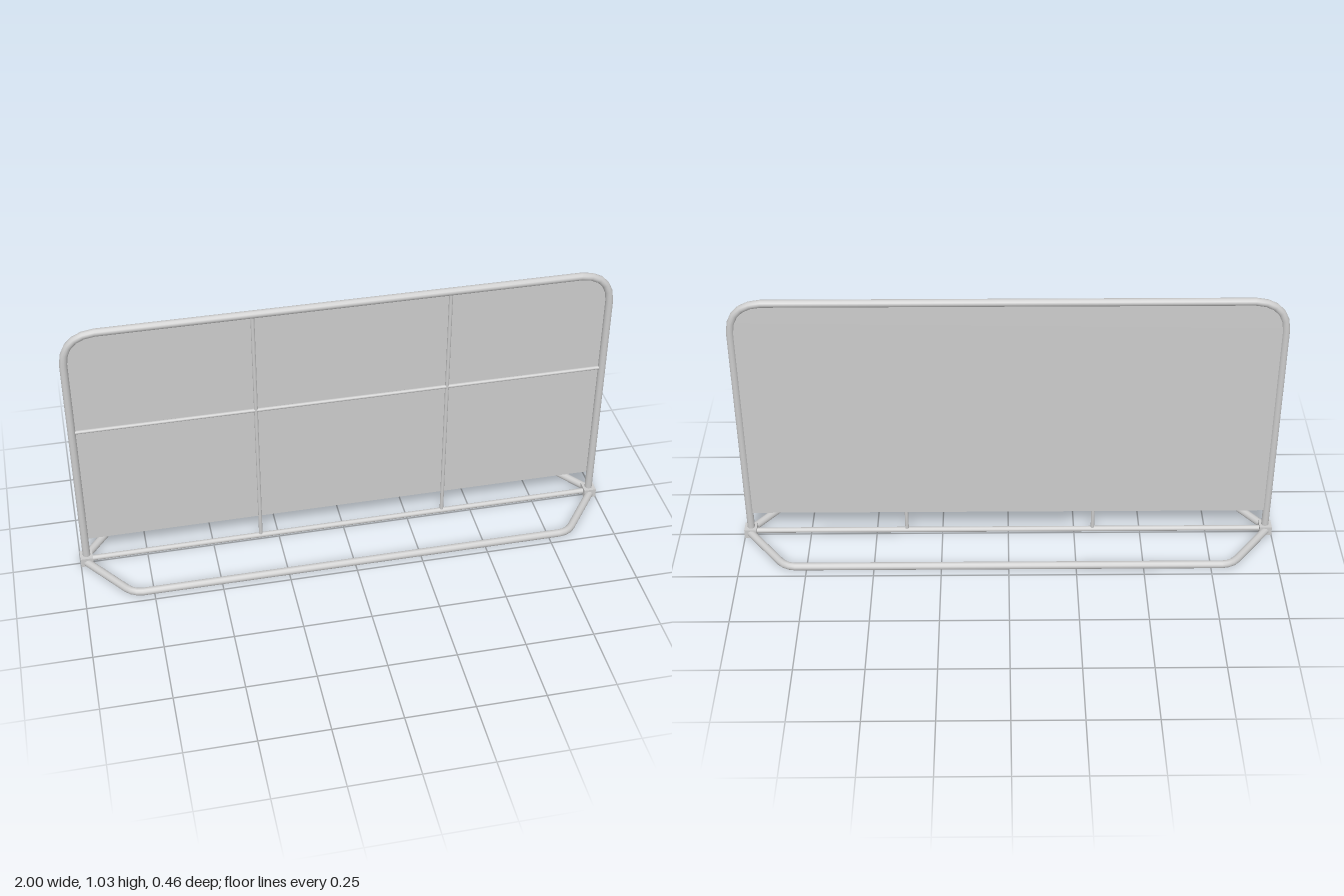
import * as THREE from 'three';

const material = new THREE.MeshStandardMaterial({ color: 0xcccccc, side: THREE.DoubleSide });

// Curve through a list of points, one tube ring per point
class PointPath extends THREE.Curve {
  constructor(points) { super(); this.points = points; }
  getPoint(t, target = new THREE.Vector3()) {
    const n = this.points.length - 1, i = Math.min(Math.floor(t * n + 1e-6), n - 1);
    return target.lerpVectors(this.points[i], this.points[i + 1], t * n - i);
  }
  getPointAt(t, target) { return this.getPoint(t, target); }
  getTangentAt(t, target = new THREE.Vector3()) {
    const p = this.points, n = p.length - 1, i = Math.round(t * n);
    const a = p[Math.max(i - 1, 0)], b = p[i], c = p[Math.min(i + 1, n)];
    const before = b.clone().sub(a).normalize(), after = c.clone().sub(b).normalize();
    return target.copy(before).add(after).normalize();
  }
}

// Bent pipe: corners are rounded over a given length with a few segments
function bentPipe(name, corners, radius, bend, steps) {
  const v = corners.map(c => new THREE.Vector3(...c));
  const points = [v[0]];
  for (let i = 1; i < v.length - 1; i++) {
    const toward = k => v[i].clone().add(v[k].clone().sub(v[i]).setLength(bend));
    points.push(...new THREE.QuadraticBezierCurve3(
      toward(i - 1), v[i].clone().lerp(toward(i - 1).lerp(toward(i + 1), 0.5), 0.1), toward(i + 1)
    ).getPoints(steps));
  }
  points.push(v[v.length - 1]);
  const geometry = new THREE.TubeGeometry(new PointPath(points), points.length - 1, radius, 12, false);
  return part(name, geometry);
}

function part(name, geometry, x = 0, y = 0, z = 0) {
  const mesh = new THREE.Mesh(geometry, material);
  mesh.name = name;
  mesh.position.set(x, y, z);
  return mesh;
}

export function createModel() {
  const group = new THREE.Group();
  group.name = 'barrier';

  // Upright hoop
  group.add(bentPipe('uprightFrame',
    [[-0.976, 0.025, 0], [-0.976, 1.02, 0], [0.976, 1.02, 0], [0.976, 0.025, 0]], 0.014, 0.115, 5));

  // Panel with rounded top corners, behind the bars
  const w = 0.97, top = 1.014, r = 0.1;
  const shape = new THREE.Shape();
  shape.moveTo(-w, 0.11);
  shape.lineTo(w, 0.11);
  shape.lineTo(w, top - r);
  shape.quadraticCurveTo(w, top, w - r, top);
  shape.lineTo(r - w, top);
  shape.quadraticCurveTo(-w, top, -w, top - r);
  shape.closePath();
  group.add(part('panel', new THREE.ShapeGeometry(shape, 6), 0, 0, -0.007));

  // Thin bars in front of the panel
  for (const x of [-0.32, 0.385])
    group.add(part('verticalBar', new THREE.CylinderGeometry(0.007, 0.007, 0.99, 10), x, 0.52, 0));
  const crossBar = part('crossBar', new THREE.CylinderGeometry(0.007, 0.007, 1.95, 10), 0, 0.61, 0);
  const bottomBar = part('bottomBar', new THREE.CylinderGeometry(0.0105, 0.0105, 1.96, 12), 0, 0.021, 0);
  crossBar.rotation.z = bottomBar.rotation.z = Math.PI / 2;
  group.add(crossBar, bottomBar);

  // Foot pipes, front and back, the back one a little higher
  for (const [name, s, y] of [['frontFoot', 1, 0.0165], ['backFoot', -1, 0.021]])
    group.add(bentPipe(name,
      [[-0.982, y, s * 0.01], [-0.825, y, s * 0.217], [0.825, y, s * 0.217], [0.982, y, s * 0.01]],
      0.0145, 0.035, 3));

  // Joint blocks under the posts
  for (const x of [-0.977, 0.977])
    group.add(part('jointBlock', new THREE.BoxGeometry(0.046, 0.036, 0.05), x, 0.022, 0));

  return group;
}
